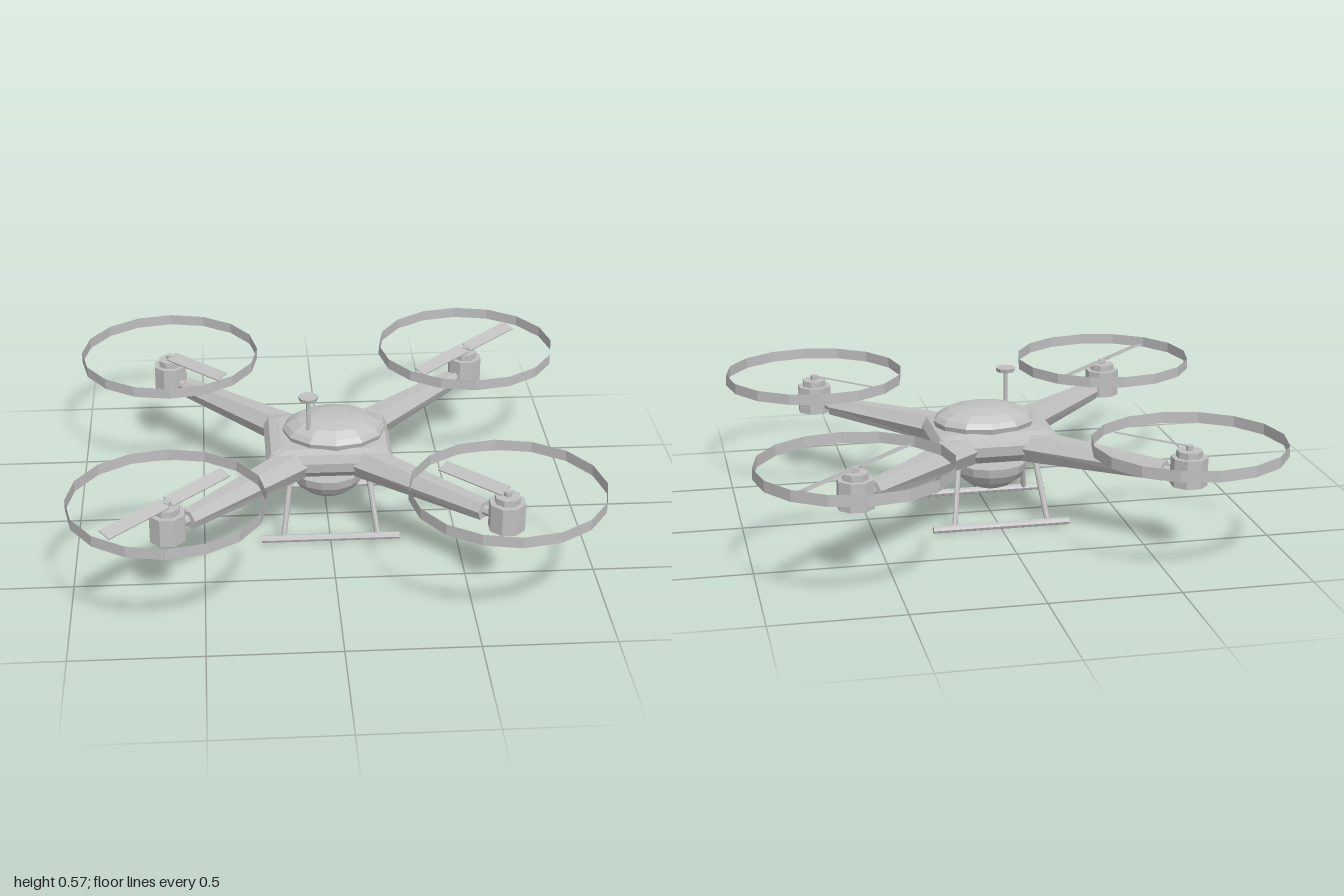
import * as THREE from 'three';

const grey = new THREE.MeshStandardMaterial({ color: 0xc0c0c0 });
grey.name = 'light grey';
grey.flatShading = true;
const greySheet = grey.clone();
greySheet.side = THREE.DoubleSide;

function add(parent, name, geometry, x = 0, y = 0, z = 0, material = grey) {
  const mesh = new THREE.Mesh(geometry, material);
  mesh.name = name;
  mesh.position.set(x, y, z);
  parent.add(mesh);
  return mesh;
}

// Closed solid through equal-length cross-sections
function loft(rings) {
  const n = rings[0].length, last = rings.length - 1, pos = [];
  const tri = (a, b, c) => pos.push(...a, ...b, ...c);
  for (let r = 0; r < last; r++) {
    for (let i = 0; i < n; i++) {
      const j = (i + 1) % n, a = rings[r], b = rings[r + 1];
      tri(a[i], a[j], b[j]);
      tri(a[i], b[j], b[i]);
    }
  }
  for (let i = 1; i < n - 1; i++) {
    tri(rings[0][0], rings[0][i + 1], rings[0][i]);
    tri(rings[last][0], rings[last][i], rings[last][i + 1]);
  }
  const g = new THREE.BufferGeometry();
  g.setAttribute('position', new THREE.Float32BufferAttribute(pos, 3));
  g.computeVertexNormals();
  return g;
}

// Rectangle with cut corners at height y
function bodyRing(y, hx, hz, c) {
  return [
    [hx, y, hz - c], [hx, y, c - hz], [hx - c, y, -hz], [c - hx, y, -hz],
    [-hx, y, c - hz], [-hx, y, hz - c], [c - hx, y, hz], [hx - c, y, hz],
  ];
}

// Six-sided arm section at distance x
function armRing(x, top, mid, bottom, a, b, c) {
  return [[x, top, -a], [x, top, a], [x, mid, b], [x, bottom, c], [x, bottom, -c], [x, mid, -b]];
}

function rod(parent, name, from, to, radius, sides = 8) {
  const a = new THREE.Vector3(...from), b = new THREE.Vector3(...to);
  const dir = b.clone().sub(a);
  const mesh = add(parent, name, new THREE.CylinderGeometry(radius, radius, dir.length(), sides));
  mesh.position.copy(a).add(b).multiplyScalar(0.5);
  mesh.quaternion.setFromUnitVectors(new THREE.Vector3(0, 1, 0), dir.normalize());
}

export function createModel() {
  const model = new THREE.Group();
  model.name = 'quadcopter';

  add(model, 'body', loft([
    bodyRing(0.255, 0.2, 0.15, 0.03),
    bodyRing(0.29, 0.245, 0.185, 0.03),
    bodyRing(0.33, 0.25, 0.19, 0.03),
    bodyRing(0.365, 0.23, 0.18, 0.025),
    bodyRing(0.376, 0.19, 0.15, 0.025),
  ]));

  // Low oval canopy, set slightly to one side
  const profile = [[0, 0.37], [0.96, 0.37], [1, 0.395], [0.92, 0.415], [0.72, 0.438], [0.4, 0.453], [0, 0.458]];
  const canopy = new THREE.LatheGeometry(profile.map(([r, y]) => new THREE.Vector2(r, y)), 12);
  canopy.scale(0.205, 1, 0.168);
  add(model, 'canopy', canopy, 0.025);

  // Antenna
  rod(model, 'antennaPole', [-0.08, 0.4, 0.085], [-0.08, 0.565, 0.085], 0.008);
  add(model, 'antennaDisc', new THREE.CylinderGeometry(0.04, 0.036, 0.016, 8), -0.08, 0.567, 0.085);

  // Sensor bowl hanging under the body
  const bowl = new THREE.SphereGeometry(0.15, 14, 5, 0, Math.PI * 2, Math.PI / 2, Math.PI / 2);
  bowl.scale(1, 0.77, 1);
  add(model, 'sensorBowl', bowl, 0, 0.221, 0);
  add(model, 'bowlLid', new THREE.CircleGeometry(0.15, 14).rotateX(-Math.PI / 2), 0, 0.221, 0);
  add(model, 'bowlNeck', new THREE.CylinderGeometry(0.02, 0.02, 0.05, 8), 0, 0.238, 0);

  // Landing gear
  for (const s of [1, -1]) {
    rod(model, 'skid', [-0.273, 0.015, s * 0.218], [0.273, 0.015, s * 0.218], 0.015);
    for (const t of [1, -1]) {
      rod(model, 'leg', [t * 0.152, 0.265, s * 0.122], [t * 0.187, 0.018, s * 0.215], 0.011);
    }
  }

  // Arms with motors, propellers and guard rings
  const reach = 0.63 * Math.SQRT2;
  for (const sx of [1, -1]) {
    for (const sz of [1, -1]) {
      const arm = new THREE.Group();
      arm.name = 'armAssembly';
      arm.rotation.y = Math.atan2(-sz, sx);
      model.add(arm);
      add(arm, 'arm', loft([
        armRing(0.18, 0.368, 0.315, 0.256, 0.035, 0.072, 0.045),
        armRing(0.79, 0.35, 0.32, 0.285, 0.02, 0.042, 0.03),
      ]));
      rod(arm, 'armJoint', [0.77, 0.316, 0], [0.84, 0.316, 0], 0.02);
      add(arm, 'motor', new THREE.CylinderGeometry(0.071, 0.071, 0.11, 8).rotateY(Math.PI / 8), reach, 0.335, 0);
      add(arm, 'motorCap', new THREE.CylinderGeometry(0.05, 0.05, 0.025, 8).rotateY(Math.PI / 8), reach, 0.4025, 0);
      add(arm, 'hub', new THREE.CylinderGeometry(0.015, 0.015, 0.025, 8), reach, 0.422, 0);

      // Pitched blades; one diagonal pair carries only the inner blade
      for (const side of sx === sz ? [-1] : [-1, 1]) {
        const blade = add(arm, 'blade', new THREE.BoxGeometry(0.3, 0.005, 0.055), reach + side * 0.16, 0.43, 0);
        blade.rotation.x = 0.3 * sx;
      }
      const guard = new THREE.CylinderGeometry(0.37, 0.37, 0.044, 16, 1, true).rotateY(-arm.rotation.y);
      add(arm, 'guardRing', guard, reach, 0.432, 0, greySheet);
    }
  }
  return model;
}
